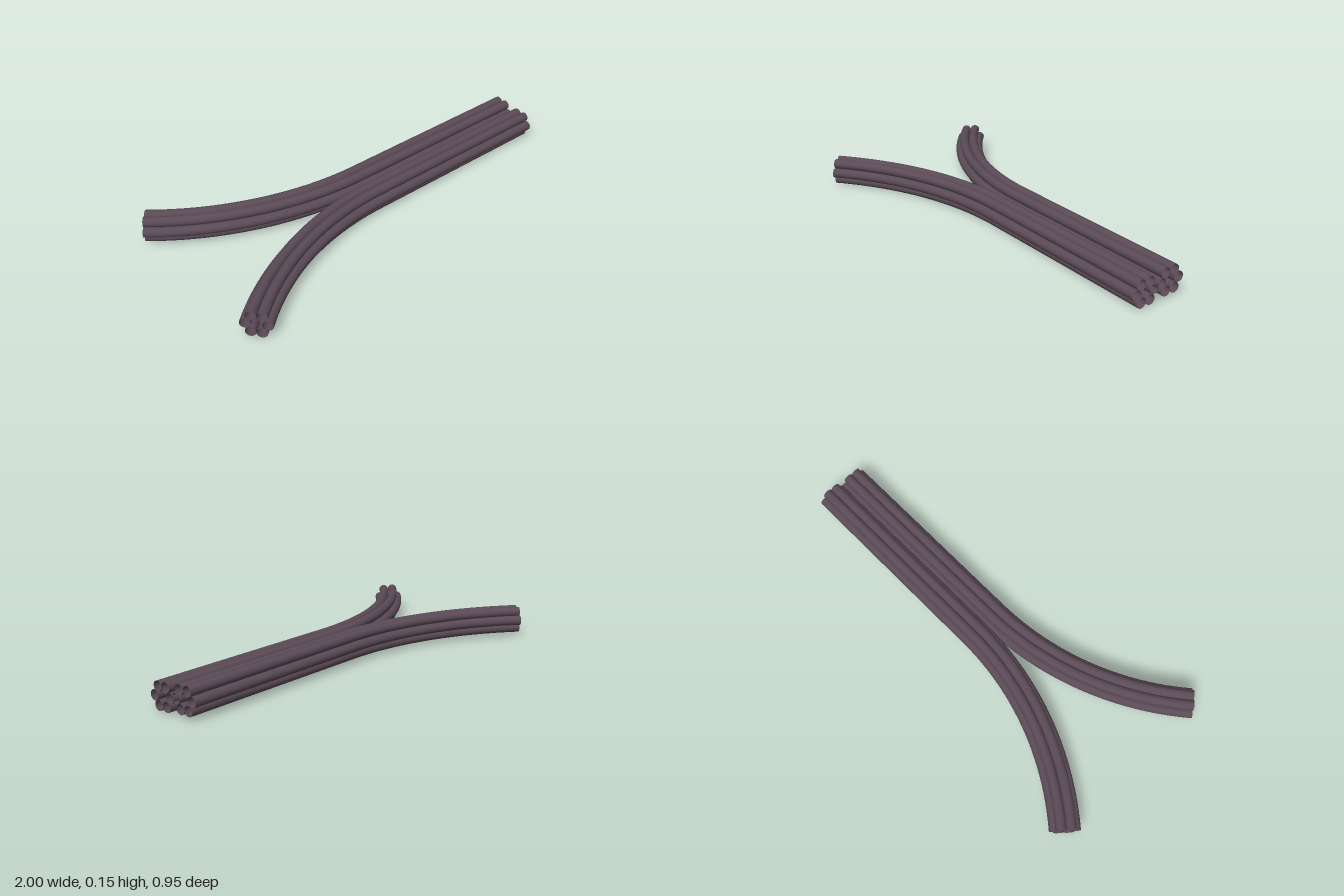
import * as THREE from 'three';

const STRAIGHT = 1.01;        // length of the parallel run, from x = 1
const BEND_RADIUS = 1.44;     // radius of the outward sweep
const BEND_ANGLE = THREE.MathUtils.degToRad(41);
const RING = 0.0475;          // distance of each tube from the bundle's axis
const TUBE = 0.0237;

// One open tube, bent sideways about a vertical axis after the straight run
function bentTube(dy, dz, side) {
  const length = STRAIGHT + BEND_RADIUS * BEND_ANGLE;
  const geo = new THREE.CylinderGeometry(TUBE, TUBE, length, 24, 48, true);
  geo.rotateZ(-Math.PI / 2);
  geo.translate(1 - length / 2, dy, dz);
  const pos = geo.attributes.position;
  const nor = geo.attributes.normal;
  for (let i = 0; i < pos.count; i++) {
    const along = 1 - pos.getX(i) - STRAIGHT;
    if (along <= 0) continue;
    const a = along / BEND_RADIUS;
    const r = BEND_RADIUS - side * pos.getZ(i);
    pos.setX(i, 1 - STRAIGHT - r * Math.sin(a));
    pos.setZ(i, side * (BEND_RADIUS - r * Math.cos(a)));
    const nz = nor.getZ(i);
    nor.setX(i, nz * side * Math.sin(a));
    nor.setZ(i, nz * Math.cos(a));
  }
  return geo;
}

// Six touching tubes in a ring, with a hollow core
function tubeBundle(name, y, z, side, material) {
  const bundle = new THREE.Group();
  bundle.name = name;
  for (let k = 0; k < 6; k++) {
    const angle = (k * Math.PI) / 3 - THREE.MathUtils.degToRad(3);
    const geo = bentTube(RING * Math.sin(angle), RING * Math.cos(angle), side);
    const tube = new THREE.Mesh(geo, material);
    tube.name = `tube${k + 1}`;
    bundle.add(tube);
  }
  bundle.position.set(0, y, z);
  return bundle;
}

export function createModel() {
  const model = new THREE.Group();
  model.name = 'forkedTubeBundles';
  const material = new THREE.MeshStandardMaterial({ color: 0x5a4a56, side: THREE.DoubleSide });
  model.add(tubeBundle('frontBundle', 0.066, 0.066, 1, material));
  model.add(tubeBundle('backBundle', 0.08, -0.066, -1, material));
  return model;
}
